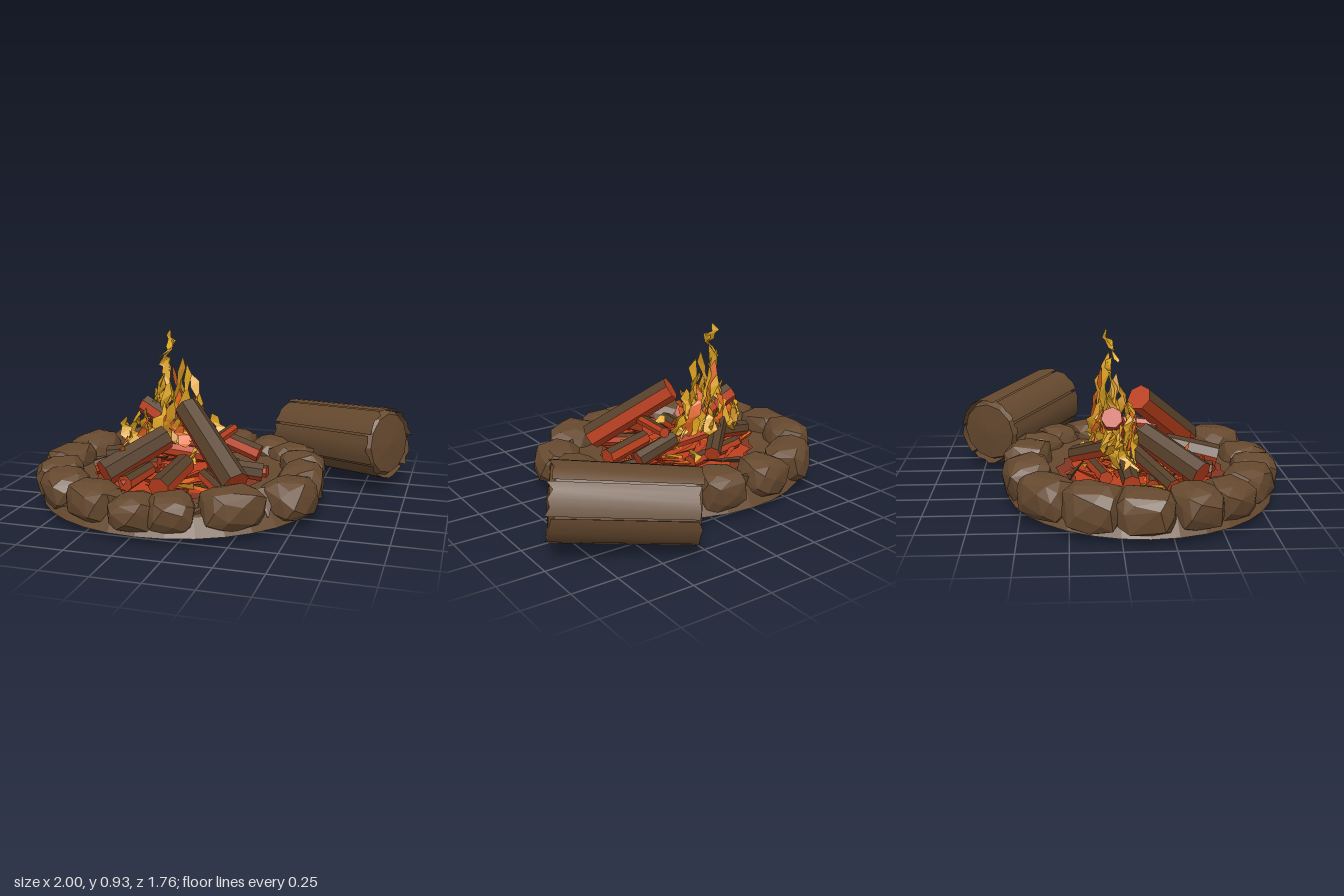
import * as THREE from 'three';
import { ConvexGeometry } from 'three/addons/geometries/ConvexGeometry.js';

const mat = (name, color, extra = {}) => {
  const m = new THREE.MeshStandardMaterial({ color, flatShading: true, ...extra });
  m.name = name;
  return m;
};
const V = (x, y, z) => new THREE.Vector3(x, y, z);
const UP = V(0, 1, 0);

export function createModel() {
  const both = { side: THREE.DoubleSide };
  const stone = mat('stone brown', 0x66492f);
  const bark = mat('bark brown', 0x64482e, { ...both, flatShading: false });
  const char = mat('charred wood', 0x563f29);
  const ember = mat('ember red', 0xbe401e);
  const glow = mat('dim ember', 0x803722, both);
  const orange = mat('hot orange', 0xe0661e, both);
  const yellow = mat('flame yellow', 0xe2a824, both);
  const amber = mat('flame amber', 0xc98c1c, both);

  let seed = 17;
  const rnd = () => (seed = (seed * 16807) % 2147483647) / 2147483647;
  const jit = (a) => (rnd() * 2 - 1) * a;

  const root = new THREE.Group();
  root.name = 'campfire';
  const add = (name, geo, material, parent = root) => {
    const m = new THREE.Mesh(geo, material);
    m.name = name;
    parent.add(m);
    return m;
  };
  const group = (name) => {
    const g = new THREE.Group();
    g.name = name;
    root.add(g);
    return g;
  };

  // Earth bed: a shallow dish closed underneath
  const CX = -0.195, CZ = 0.13;
  const dish = [[0, 0.042], [0.765, 0.042], [0.7, 0.13], [0.6, 0.17], [0.48, 0.14], [0, 0.13]];
  const bed = add('earthBed', new THREE.LatheGeometry(dish.map(p => new THREE.Vector2(...p)), 32), stone);
  bed.position.set(CX, 0, CZ);
  bed.scale.z = 0.93;

  // Boulders: rounded-box hulls, [x, z, half width along the ring, top height]
  const rocks = [
    [-0.64, -0.35, 0.17, 0.26], [-0.35, -0.465, 0.15, 0.27], [-0.06, -0.47, 0.14, 0.27],
    [0.18, -0.42, 0.125, 0.25], [0.33, -0.32, 0.12, 0.25], [0.43, -0.14, 0.135, 0.25],
    [0.475, 0.1, 0.15, 0.26], [0.465, 0.35, 0.15, 0.26], [0.23, 0.59, 0.18, 0.26],
    [-0.05, 0.72, 0.125, 0.24], [-0.23, 0.745, 0.125, 0.23], [-0.48, 0.665, 0.165, 0.25],
    [-0.7, 0.52, 0.15, 0.25], [-0.81, 0.36, 0.135, 0.26], [-0.865, 0.11, 0.16, 0.26],
    [-0.825, -0.13, 0.155, 0.28],
  ];
  const ring = group('stoneRing');
  const boxed = (v, e) => Math.sign(v) * Math.abs(v) ** e;
  rocks.forEach(([x, z, w, top], k) => {
    const pts = [], n = 40, low = 0.04;
    for (let i = 0; i < n; i++) {
      const y = 1 - (2 * i + 1) / n, r = Math.sqrt(1 - y * y), a = i * 2.39996 + k;
      const s = 0.96 + jit(0.08);
      pts.push(V(
        boxed(r * Math.cos(a), 0.7) * 0.136 * s,
        THREE.MathUtils.clamp(boxed(y, 0.7) * s * 1.04, -1, 1) * (top - low) / 2,
        boxed(r * Math.sin(a), 0.7) * w * s));
    }
    const m = add('boulder', new ConvexGeometry(pts), stone, ring);
    m.position.set(x, (top + low) / 2, z);
    m.rotation.y = Math.atan2(-(z - CZ), x - CX);
  });
  // Flakes of stone wedged between boulders, two of them jutting down to the ground
  rocks.forEach((a, i) => {
    const b = rocks[(i + 1) % rocks.length];
    const jut = i === 14 || i === 4;
    const pts = Array.from({ length: 9 }, () => V(jit(0.09), jit(0.09), jit(0.07)));
    if (jut) pts.push(V(0.02, -0.14, 0));
    const m = add('stoneFlake', new ConvexGeometry(pts), stone, ring);
    m.position.set((a[0] + b[0]) / 2, 0.14, (a[1] + b[1]) / 2);
  });

  // Glowing patches on the bed, ragged discs in thin layers
  const patch = (name, x, y, z, r, n, material) => {
    const s = new THREE.Shape();
    for (let i = 0; i < n; i++) {
      const a = i / n * Math.PI * 2, q = r * (i % 2 ? 0.92 : 1) * (1 + jit(0.06));
      s[i ? 'lineTo' : 'moveTo'](Math.cos(a) * q, Math.sin(a) * q);
    }
    const m = add(name, new THREE.ShapeGeometry(s), material);
    m.rotation.x = -Math.PI / 2;
    m.position.set(x, y, z);
  };
  patch('dimEmbers', -0.21, 0.146, 0.13, 0.46, 34, glow);
  patch('embers', -0.23, 0.15, 0.13, 0.4, 30, ember);
  [[0.03, 0.3, 0.11], [-0.2, 0.22, 0.12], [0.08, 0.12, 0.07], [-0.42, 0.2, 0.07]].forEach(([x, z, r]) =>
    patch('hotEmbers', x, 0.154, z, r, 14, orange));

  // Split firewood: faces turned down or towards the fire glow red; hot logs keep only a charred top
  const wood = group('firewood');
  const fire = V(-0.22, 0.1, 0.08);
  const firewood = (a, b, r, hot) => {
    const dir = b.clone().sub(a);
    let g = new THREE.CylinderGeometry(r, r * 0.92, dir.length(), 7);
    g.rotateY(rnd() * 3);
    g.applyQuaternion(new THREE.Quaternion().setFromUnitVectors(UP, dir.clone().normalize()));
    const mid = a.clone().add(b).multiplyScalar(0.5);
    g.translate(mid.x, mid.y, mid.z);
    g = g.toNonIndexed();
    g.computeVertexNormals();
    g.clearGroups();
    const inward = fire.clone().sub(mid).normalize();
    const nrm = g.attributes.normal;
    for (let i = 0; i < nrm.count; i += 3) {
      const n = V(nrm.getX(i), nrm.getY(i), nrm.getZ(i));
      const red = n.dot(inward) > 0.15 || n.y < (hot ? 0.72 : 0.05);
      g.addGroup(i, 3, red ? 1 : 0);
    }
    add('firewoodLog', g, [char, ember], wood);
  };
  [
    [-0.16, 0.53, 0.13, 0.2, 0.22, 0.43, 0.078],
    [-0.28, 0.36, 0.14, -0.53, 0.21, 0.42, 0.075],
    [-0.12, 0.26, 0.28, -0.17, 0.2, 0.56, 0.062],
    [-0.47, 0.5, -0.03, -0.2, 0.36, 0.01, 0.06, true],
    [-0.2, 0.23, -0.22, -0.4, 0.33, -0.02, 0.05],
    [-0.03, 0.32, -0.09, 0.2, 0.24, -0.08, 0.05],
    [-0.02, 0.24, 0.19, 0.27, 0.2, 0.13, 0.05],
    [-0.65, 0.19, 0.27, -0.35, 0.28, 0.1, 0.045],
    [-0.66, 0.21, 0.06, -0.38, 0.25, 0.04, 0.05],
    [-0.02, 0.2, 0.27, 0.14, 0.18, 0.46, 0.04, true],
    [-0.33, 0.21, 0.27, -0.38, 0.19, 0.5, 0.045],
    [0.04, 0.37, -0.1, -0.02, 0.34, 0.24, 0.032, true],
    [-0.45, 0.27, 0.02, 0.02, 0.23, 0.03, 0.042, true],
    [-0.5, 0.19, -0.06, -0.1, 0.18, -0.15, 0.04, true],
    [-0.6, 0.18, 0.17, -0.3, 0.22, 0.19, 0.035, true],
    [0.02, 0.18, 0.01, 0.27, 0.17, 0.02, 0.035, true],
  ].forEach(([ax, ay, az, bx, by, bz, r, hot]) => firewood(V(ax, ay, az), V(bx, by, bz), r, hot));

  // Ember slivers scattered between the wood
  for (let i = 0; i < 40; i++) {
    const a = i * 2.4, r = 0.1 + rnd() * 0.32;
    const m = add('emberSliver', new THREE.ConeGeometry(0.02, 0.16 + rnd() * 0.1, 3),
      [ember, orange, ember, char, ember, amber][i % 6], wood);
    m.position.set(-0.22 + Math.cos(a) * r, 0.17 + (0.4 - r) * 0.1, 0.12 + Math.sin(a) * r * 0.9);
    m.rotation.set(1.4 + jit(0.2), 0, a + jit(0.8));
  }

  // Flames: ragged twisting ribbons that lean towards the peak
  const flames = group('flames');
  const ribbon = (x, z, y0, y1, w, lean, material) => {
    const n = 6, pos = [], idx = [], turn = rnd() * 6, ph = rnd() * 6;
    for (let i = 0; i <= n; i++) {
      const t = i / n, ang = turn + t * 1.8;
      const cx = x + (-0.29 - x) * lean * t + Math.sin(ph + t * 6) * 0.024;
      const cz = z + (-0.05 - z) * lean * t + Math.cos(ph + t * 5) * 0.02;
      const h = w * (i === n ? 0 : (1.1 - t * 0.6) * (i % 2 ? 1.1 : 0.4));
      const y = y0 + (y1 - y0) * t, dx = Math.cos(ang) * h, dz = Math.sin(ang) * h;
      pos.push(cx - dx, y - h * 0.6, cz - dz, cx + dx, y + h * 0.6, cz + dz);
      if (i < n) idx.push(2 * i, 2 * i + 1, 2 * i + 2, 2 * i + 1, 2 * i + 3, 2 * i + 2);
    }
    const g = new THREE.BufferGeometry();
    g.setAttribute('position', new THREE.Float32BufferAttribute(pos, 3));
    g.setIndex(idx);
    g.computeVertexNormals();
    add('flame', g, material, flames);
  };
  const tongues = [
    [-0.57, 0.06, 0.44], [-0.53, 0, 0.47], [-0.46, -0.02, 0.6], [-0.41, -0.03, 0.68], [-0.36, -0.02, 0.78],
    [-0.31, -0.05, 0.81], [-0.25, -0.07, 0.78], [-0.2, -0.04, 0.74], [-0.15, -0.08, 0.68], [-0.1, -0.07, 0.58],
    [-0.28, 0.06, 0.64], [-0.42, 0.08, 0.5], [-0.04, -0.09, 0.45], [-0.34, 0.12, 0.54],
    [-0.2, 0.1, 0.52], [-0.1, 0.2, 0.36], [-0.25, -0.1, 0.6], [-0.36, -0.08, 0.58],
  ];
  tongues.forEach(([x, z, top], i) => {
    const lean = top > 0.5 ? 0.35 : 0.1, base = top > 0.5 ? 0.31 : 0.25;
    ribbon(x, z, base, top, 0.04, lean, i % 4 === 2 ? amber : yellow);
    ribbon(x + jit(0.03), z + jit(0.03), base, top * 0.9, 0.036, lean, [yellow, amber, orange][i % 3]);
  });
  ribbon(-0.35, -0.02, 0.77, 0.93, 0.034, 0.9, yellow);
  ribbon(-0.33, -0.03, 0.72, 0.88, 0.03, 0.5, yellow);
  ribbon(-0.43, 0.36, 0.22, 0.42, 0.02, 0, orange);
  ribbon(-0.08, -0.2, 0.17, 0.27, 0.025, 0.1, yellow);
  ribbon(0.08, 0.24, 0.17, 0.26, 0.025, 0, yellow);

  // Seat log: a solid core wrapped in broad bark plates with ragged rims
  const seat = group('seatLog');
  const p = V(0.27, 0.23, -0.715), q = V(0.89, 0.28, -0.36);
  const axis = q.clone().sub(p), len = axis.length();
  const profile = [[0, -len / 2 - 0.012], [0.165, -len / 2], [0.18, -len / 2 + 0.03],
    [0.19, len / 2 - 0.03], [0.17, len / 2], [0, len / 2 + 0.015]];
  add('logCore', new THREE.LatheGeometry(profile.map(c => new THREE.Vector2(...c)), 12), stone, seat);
  const plates = 7, step = Math.PI * 2 / plates;
  for (let i = 0; i < plates; i++) {
    const g = new THREE.CylinderGeometry(0.2, 0.192, len, 4, 1, true, i * step, step * 0.94);
    const c = g.attributes.position;
    for (let j = 0; j < c.count; j++) {
      const s = 1 + jit(0.015);
      c.setXYZ(j, c.getX(j) * s, c.getY(j) + jit(0.018), c.getZ(j) * s);
    }
    g.computeVertexNormals();
    add('barkPlate', g, bark, seat);
  }
  seat.position.copy(p).add(q).multiplyScalar(0.5);
  seat.quaternion.setFromUnitVectors(UP, axis.normalize());

  return root;
}
